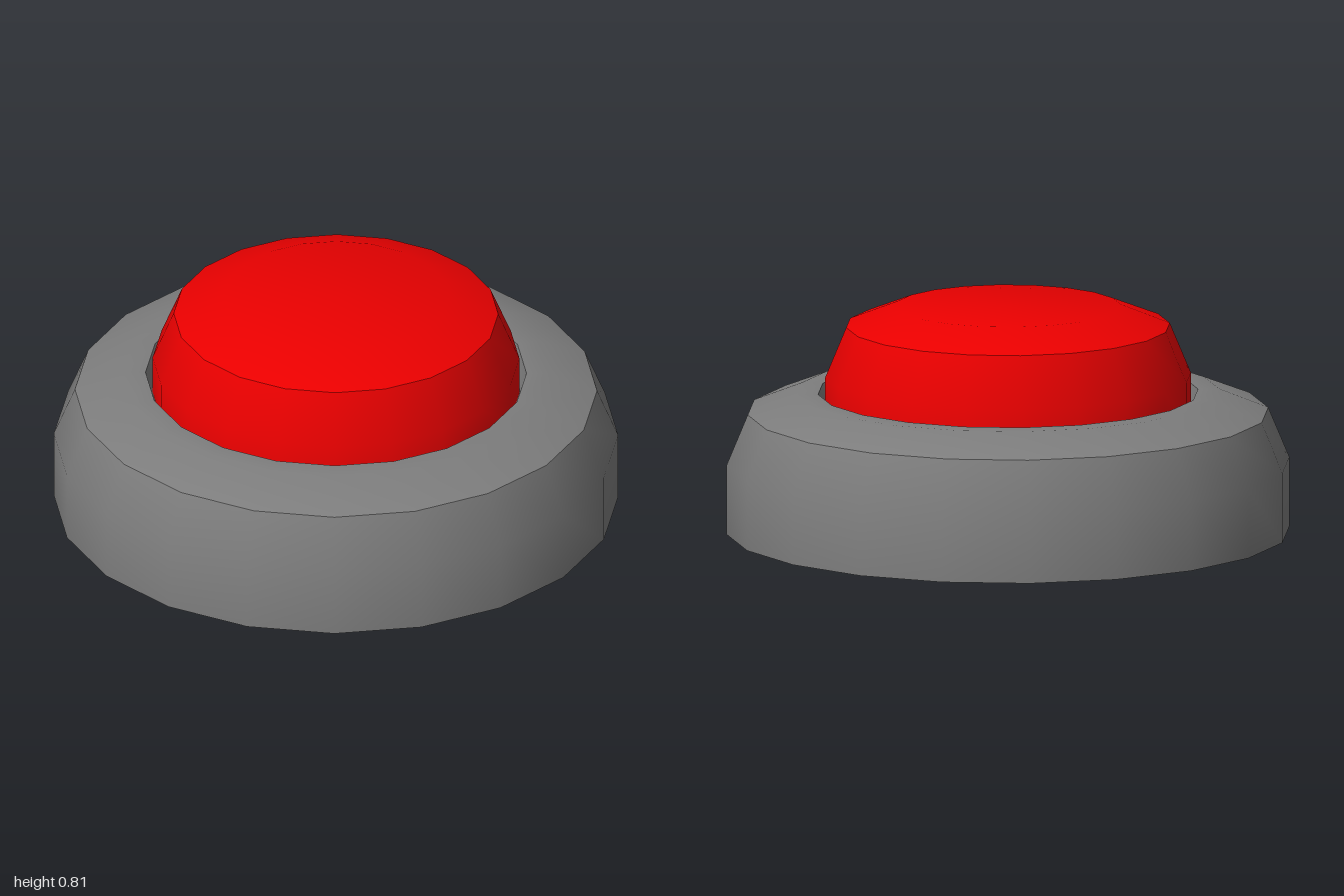
import * as THREE from 'three';
import { toCreasedNormals } from 'three/addons/utils/BufferGeometryUtils.js';

const SIDES = 20;

// Turns a bottom-to-top [radius, height] profile, smooth except at sharp edges
function turned(name, color, profile) {
  const points = profile.map(([r, y]) => new THREE.Vector2(r, y));
  const geometry = toCreasedNormals(new THREE.LatheGeometry(points, SIDES), 0.6);
  const mesh = new THREE.Mesh(geometry, new THREE.MeshStandardMaterial({ color }));
  mesh.name = name;
  return mesh;
}

export function createModel() {
  const group = new THREE.Group();
  group.name = 'pushButton';

  // Housing with closed underside, bevelled shoulder and a well that narrows to the cap
  group.add(turned('base', 0x7d7d7d, [
    [0, 0], [1, 0], [1, 0.25], [0.925, 0.43], [0.75, 0.5],
    [0.675, 0.5], [0.65, 0.42], [0, 0.42],
  ]));

  // Domed button rising out of the well
  group.add(turned('buttonCap', 0xea0000, [
    [0.65, 0.42], [0.65, 0.56], [0.575, 0.74], [0.4, 0.81], [0, 0.81],
  ]));

  return group;
}
